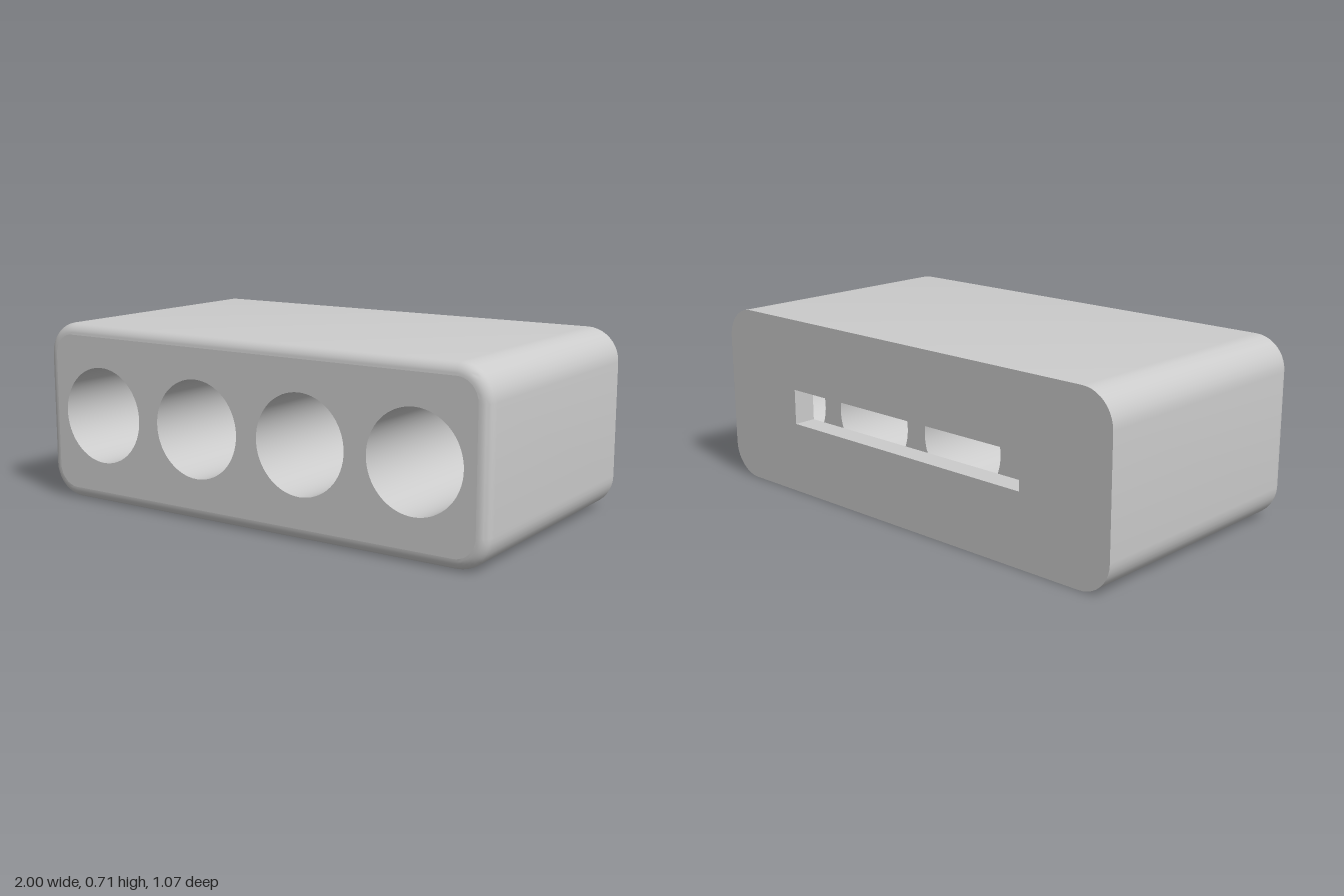
import * as THREE from 'three';
import { toCreasedNormals } from 'three/addons/utils/BufferGeometryUtils.js';

const W = 2, H = 0.715, FRONT = 0.535, BACK = -0.535;
const CY = H / 2;
const CORNER = 0.13, FILLET = 0.045;
const HOLE_X = [-0.714, -0.238, 0.238, 0.714], HOLE_R = 0.192;
const SLOT_X = 0.6, SLOT_H = 0.071;   // half sizes of the rear slot
const FLOOR = -0.443;                 // where the bores meet the slot

// Rounded rectangle outline, counter-clockwise, shrunk by inset
function outline(inset) {
  const r = CORNER - inset, pts = [], n = 10;
  const cx = W / 2 - CORNER, cy = H / 2 - CORNER;
  [[1, 1], [-1, 1], [-1, -1], [1, -1]].forEach(([sx, sy], q) => {
    for (let i = 0; i <= n; i++) {
      const a = (q + i / n) * Math.PI / 2;
      pts.push(new THREE.Vector2(sx * cx + r * Math.cos(a), CY + sy * cy + r * Math.sin(a)));
    }
  });
  return pts;
}

function circle(cx, n = 64) {
  return Array.from({ length: n }, (_, i) => {
    const a = i / n * Math.PI * 2;
    return new THREE.Vector2(cx + HOLE_R * Math.cos(a), CY + HOLE_R * Math.sin(a));
  });
}

const rectangle = () => [[1, -1], [1, 1], [-1, 1], [-1, -1]]
  .map(([x, y]) => new THREE.Vector2(x * SLOT_X, CY + y * SLOT_H));

// Skin between closed loops; back to front faces outward, front to back inward
function loft(loops) {
  const pos = [], index = [], n = loops[0].pts.length;
  loops.forEach(({ pts, z }) => pts.forEach(p => pos.push(p.x, p.y, z)));
  for (let k = 0; k < loops.length - 1; k++) {
    for (let i = 0; i < n; i++) {
      const a = k * n + i, b = k * n + (i + 1) % n;
      index.push(a, b, b + n, a, b + n, a + n);
    }
  }
  const g = new THREE.BufferGeometry();
  g.setAttribute('position', new THREE.Float32BufferAttribute(pos, 3));
  g.setIndex(index);
  return toCreasedNormals(g, Math.PI / 6);
}

export function createModel() {
  const group = new THREE.Group();
  const material = new THREE.MeshStandardMaterial({ color: 0xcccccc, side: THREE.DoubleSide });
  const add = (name, geometry) => {
    const mesh = new THREE.Mesh(geometry, material);
    mesh.name = name;
    group.add(mesh);
    return mesh;
  };
  const addFace = (name, shape, z, back = false) => {
    const g = new THREE.ShapeGeometry(shape, 32);
    if (back) { // turn the face towards -z
      g.index.array.reverse();
      g.computeVertexNormals();
    }
    add(name, g.translate(0, 0, z));
  };

  // Outer shell with a rounded front edge
  const loops = [{ pts: outline(0), z: BACK }];
  for (let i = 0; i <= 8; i++) {
    const a = i / 8 * Math.PI / 2;
    loops.push({
      pts: outline(FILLET * (1 - Math.cos(a))),
      z: FRONT - FILLET * (1 - Math.sin(a)),
    });
  }
  add('outerShell', loft(loops));

  // Front face with four round openings
  const front = new THREE.Shape(outline(FILLET));
  HOLE_X.forEach(x => front.holes.push(new THREE.Path(circle(x))));
  addFace('frontFace', front, FRONT);

  // Back face with the slot opening
  const rear = new THREE.Shape(outline(0));
  rear.holes.push(new THREE.Path(rectangle()));
  addFace('backFace', rear, BACK, true);

  // Walls of the rear slot
  add('slotWalls', loft([{ pts: rectangle(), z: FLOOR }, { pts: rectangle(), z: BACK }]));

  // Bores and the floor left around the slot
  const a = Math.asin(SLOT_H / HOLE_R);
  HOLE_X.forEach((x, i) => {
    add('boreWall', loft([{ pts: circle(x), z: FRONT }, { pts: circle(x), z: FLOOR }]));
    const arc = (from, to) => new THREE.Shape().absarc(x, CY, HOLE_R, from, to, false);
    if (i === 1 || i === 2) {
      addFace('boreFloorTop', arc(a, Math.PI - a), FLOOR);
      addFace('boreFloorBottom', arc(Math.PI + a, 2 * Math.PI - a), FLOOR);
    } else {
      const s = Math.sign(x);
      const floor = s > 0 ? arc(a - Math.PI, Math.PI - a) : arc(a, 2 * Math.PI - a);
      floor.lineTo(s * SLOT_X, CY + s * SLOT_H);
      floor.lineTo(s * SLOT_X, CY - s * SLOT_H);
      addFace('boreFloor', floor, FLOOR);
    }
  });

  // Ends of the webs between bores, seen through the slot
  for (let i = 0; i < 3; i++) {
    const web = new THREE.Shape();
    web.absarc(HOLE_X[i], CY, HOLE_R, -a, a, false);
    web.absarc(HOLE_X[i + 1], CY, HOLE_R, Math.PI - a, Math.PI + a, false);
    addFace('webEnd', web, FLOOR, true);
  }
  return group;
}
